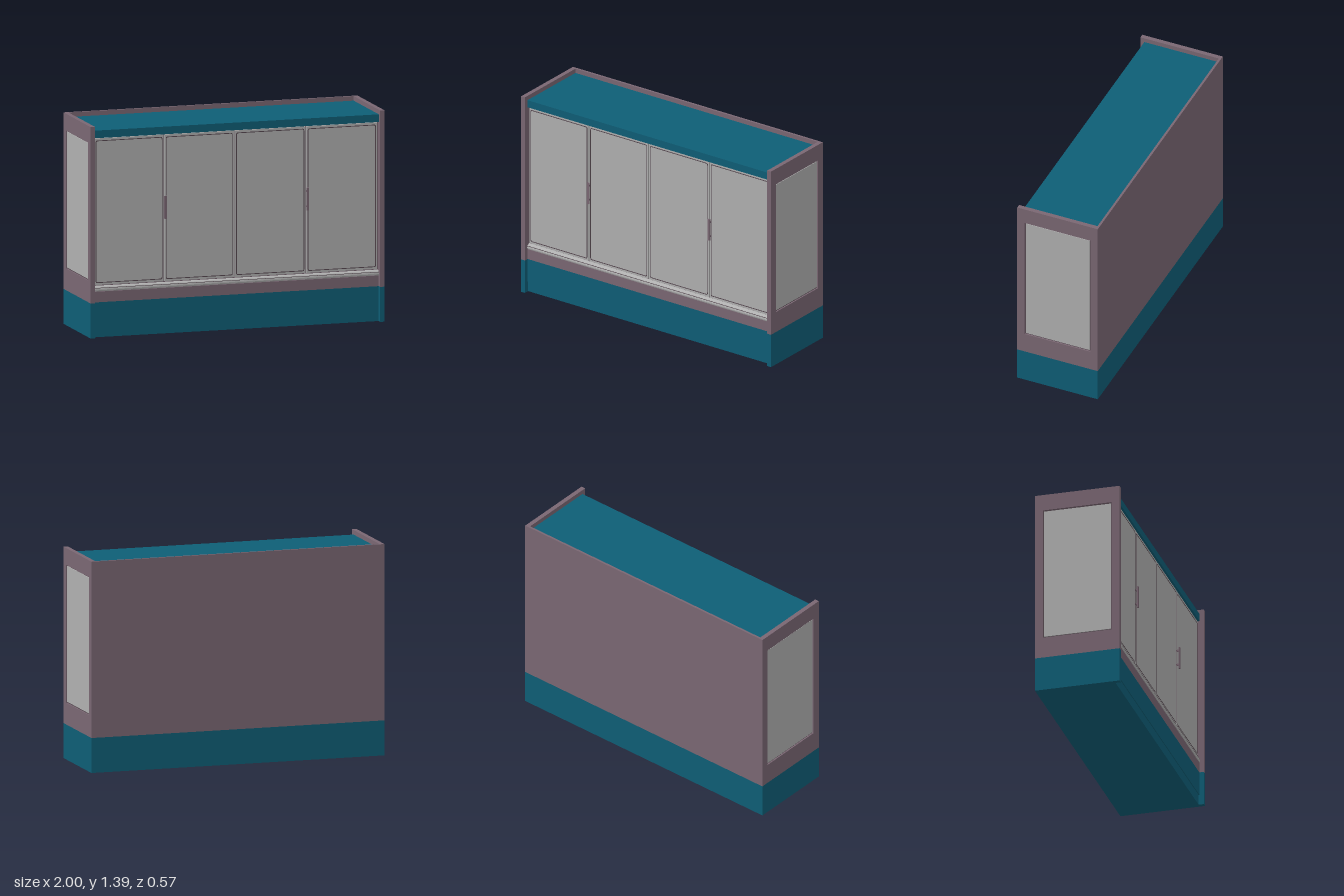
import * as THREE from 'three';

export function createModel() {
  const root = new THREE.Group();
  root.name = 'displayCabinet';
  const mat = (name, color) => {
    const m = new THREE.MeshStandardMaterial({ color });
    m.name = name;
    return m;
  };
  const mauve = mat('mauve', 0x7a6773);
  const teal = mat('teal', 0x0e5e76);
  const glass = mat('paleGlass', 0xb0b0b0);
  const dark = mat('darkTrim', 0x55474f);

  const add = (name, geo, m, parent = root) => {
    const mesh = new THREE.Mesh(geo, m);
    mesh.name = name;
    parent.add(mesh);
    return mesh;
  };
  // Box given by its min and max corners
  const box = (name, m, x0, x1, y0, y1, z0, z1, parent) => {
    const mesh = add(name, new THREE.BoxGeometry(x1 - x0, y1 - y0, z1 - z0), m, parent);
    mesh.position.set((x0 + x1) / 2, (y0 + y1) / 2, (z0 + z1) / 2);
    return mesh;
  };
  // Rounded rectangle traced on a shape or hole path
  const roundRect = (p, x0, x1, y0, y1, r) => {
    p.moveTo(x0 + r, y0).lineTo(x1 - r, y0);
    p.quadraticCurveTo(x1, y0, x1, y0 + r).lineTo(x1, y1 - r);
    p.quadraticCurveTo(x1, y1, x1 - r, y1).lineTo(x0 + r, y1);
    p.quadraticCurveTo(x0, y1, x0, y1 - r).lineTo(x0, y0 + r);
    p.quadraticCurveTo(x0, y0, x0 + r, y0);
    return p;
  };
  const frame = (outer, inner, r, depth) => {
    const s = roundRect(new THREE.Shape(), ...outer, r);
    s.holes.push(roundRect(new THREE.Path(), ...inner, r));
    return new THREE.ExtrudeGeometry(s, { depth, bevelEnabled: false, curveSegments: 5 });
  };

  // Cabinet body, base, kick plate, back and roof
  box('body', mauve, -0.97, 0.97, 0.23, 1.31, -0.27, 0.235);
  box('basePanel', teal, -0.97, 0.97, 0.07, 0.23, -0.27, 0.255);
  box('kickPlate', teal, -0.97, 0.97, 0, 0.07, -0.27, 0.25);
  box('backPanel', mauve, -0.97, 0.97, 0.23, 1.39, -0.285, -0.27);
  box('backBase', teal, -0.97, 0.97, 0, 0.23, -0.285, -0.27);
  box('roof', teal, -0.97, 0.97, 1.31, 1.36, -0.27, 0.257);
  box('lowerFascia', mauve, -0.97, 0.97, 0.23, 0.3, 0.235, 0.255);

  // Rounded sill rail below the doors
  const sill = new THREE.Shape();
  sill.moveTo(0.235, 0.302).lineTo(0.257, 0.302).lineTo(0.26, 0.31);
  sill.quadraticCurveTo(0.26, 0.334, 0.235, 0.336);
  const sillGeo = new THREE.ExtrudeGeometry(sill, { depth: 1.94, bevelEnabled: false, curveSegments: 6 });
  sillGeo.rotateY(-Math.PI / 2); // shape x becomes z, depth runs to -x
  add('sillRail', sillGeo, glass).position.x = 0.97;
  box('sillGroove', dark, -0.97, 0.97, 0.322, 0.325, 0.25, 0.2585);

  // Side panels with framed windows
  for (const s of [1, -1]) {
    const side = new THREE.Group();
    side.name = s > 0 ? 'leftSide' : 'rightSide';
    root.add(side);
    const outer = [-0.285, 0.285, 0.23, 1.39];
    const opening = [-0.232, 0.232, 0.372, 1.28];
    const panel = frame(outer, opening, 0.0005, 0.03);
    panel.rotateY(Math.PI / 2);
    add('sidePanel', panel, mauve, side).position.x = s > 0 ? 0.97 : -1;
    box('sideBase', teal, s * 0.985 - 0.015, s * 0.985 + 0.015, 0, 0.23, -0.285, 0.285, side);
    box('windowSeal', dark, s * 0.98 - 0.01, s * 0.98 + 0.01, 0.372, 1.28, -0.232, 0.232, side);
    box('sideWindow', glass, s * 0.985 - 0.01, s * 0.985 + 0.01, 0.38, 1.273, -0.226, 0.226, side);
  }

  // Four sliding doors, each with a pale pane, seal line and edge gap
  const edges = [-0.965, -0.487, -0.009, 0.478, 0.965];
  for (let i = 0; i < 4; i++) {
    const door = new THREE.Group();
    door.name = 'door' + (i + 1);
    root.add(door);
    const x0 = edges[i] + 0.004, x1 = edges[i + 1] - 0.004;
    box('doorPane', glass, x0, x1, 0.342, 1.306, 0.235, 0.245, door);
    const seal = frame([x0 + 0.008, x1 - 0.008, 0.355, 1.292],
      [x0 + 0.012, x1 - 0.012, 0.36, 1.287], 0.012, 0.002);
    add('doorSeal', seal, dark, door).position.z = 0.2445;
  }

  // Upright pull handles on two standoffs
  for (const x of [-0.482, 0.485]) {
    const handle = new THREE.Group();
    handle.name = 'handle';
    root.add(handle);
    box('grip', mauve, x - 0.008, x + 0.008, 0.755, 0.905, 0.255, 0.264, handle);
    for (const y of [0.775, 0.875])
      box('standoff', mauve, x - 0.006, x + 0.006, y, y + 0.012, 0.243, 0.256, handle);
  }
  return root;
}
